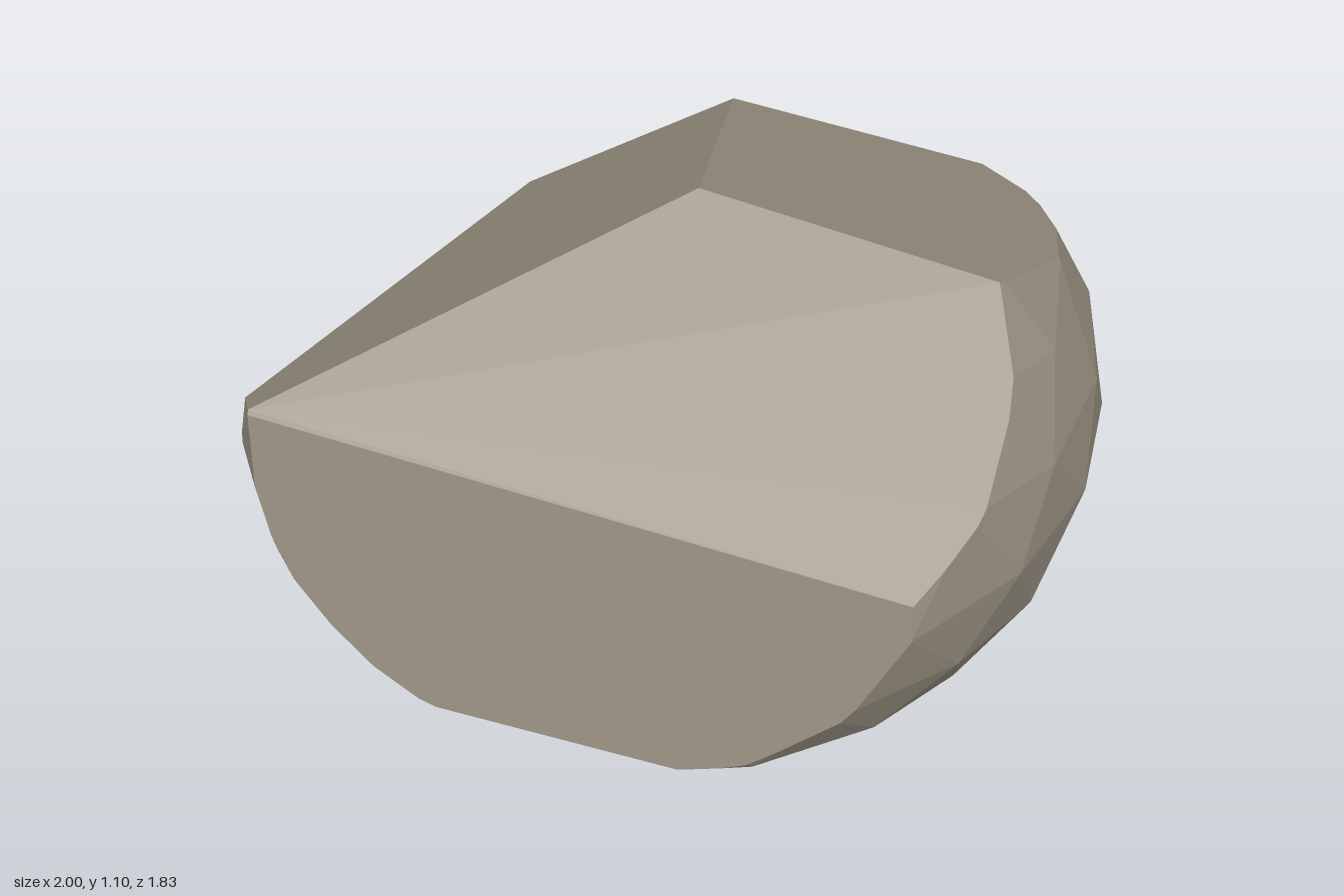
import * as THREE from 'three';

const V = (x, y, z) => new THREE.Vector3(x, y, z);

// Icosahedron with a corner pointing up, as a list of triangles
function icosahedron() {
  const at = (y, deg) => {
    const r = Math.sqrt(1 - y * y), a = THREE.MathUtils.degToRad(deg);
    return V(r * Math.cos(a), y, r * Math.sin(a));
  };
  const h = 1 / Math.sqrt(5), faces = [];
  for (let k = 0; k < 5; k++) {
    const u0 = at(h, 72 * k), u1 = at(h, 72 * k + 72);
    const l0 = at(-h, 72 * k + 36), l1 = at(-h, 72 * k + 108);
    faces.push([V(0, 1, 0), u1, u0], [u0, u1, l0], [l0, u1, l1], [V(0, -1, 0), l0, l1]);
  }
  return faces;
}

// Split each triangle into four and push the new corners onto the sphere
function subdivide(faces) {
  const mid = (a, b) => a.clone().add(b).normalize();
  return faces.flatMap(([a, b, c]) => {
    const ab = mid(a, b), bc = mid(b, c), ca = mid(c, a);
    return [[a, ab, ca], [ab, b, bc], [ca, bc, c], [ab, bc, ca]];
  });
}

// Cut a convex solid with a plane and close it with a flat cap
function slice(faces, normal, point) {
  const plane = new THREE.Plane().setFromNormalAndCoplanarPoint(normal.clone().normalize(), point);
  const cap = [], kept = [];
  const addCap = (p) => { if (!cap.some((q) => q.distanceTo(p) < 1e-5)) cap.push(p); };
  for (const face of faces) {
    const out = [];
    face.forEach((a, i) => {
      const b = face[(i + 1) % face.length];
      const da = plane.distanceToPoint(a), db = plane.distanceToPoint(b);
      if (da <= 0) out.push(a);
      if ((da <= 0) !== (db <= 0)) {
        const p = a.clone().lerp(b, da / (da - db));
        out.push(p);
        addCap(p);
      }
    });
    if (out.length > 2) kept.push(out);
  }
  if (cap.length > 2) {
    const n = plane.normal;
    const c = cap.reduce((s, p) => s.add(p), V(0, 0, 0)).divideScalar(cap.length);
    const t = cap[0].clone().sub(c).normalize(), b = n.clone().cross(t);
    const angle = (p) => Math.atan2(p.clone().sub(c).dot(b), p.clone().sub(c).dot(t));
    kept.push(cap.sort((p, q) => angle(p) - angle(q)));
  }
  return kept;
}

// Fan each polygon into flat triangles
function toGeometry(faces) {
  const points = [];
  for (const f of faces)
    for (let i = 1; i < f.length - 1; i++) points.push(f[0], f[i], f[i + 1]);
  const geometry = new THREE.BufferGeometry().setFromPoints(points);
  geometry.computeVertexNormals();
  return geometry;
}

export function createModel() {
  const stone = new THREE.MeshStandardMaterial({ color: 0x948c7d });
  stone.name = 'stone';

  // Rounded body
  let faces = subdivide(subdivide(icosahedron()));
  const scale = V(1.11, 0.865, 1.14), centre = V(-0.11, 0.475, 0.005);
  faces = faces.map((f) => f.map((p) => p.clone().multiply(scale).add(centre)));

  // Flat broken faces: outward normal and a point on each
  const peak = V(-0.02, 1.1, 0.04);
  const cuts = [
    [V(0.0647, 0.5449, 0.398), peak],                   // upper front slope
    [V(0.0649, 0.716, -0.235), peak],                   // upper back slope
    [V(-0.563, 0.957, -0.1), peak],                     // upper side slope
    [V(0.102, 0.2845, 1.067), V(-0.42, 0, 0.915)],      // front
    [V(-0.053, -0.066, -0.288), V(-0.3, 0.846, -0.81)], // back
    [V(-0.702, 0.054, -0.054), V(-0.93, 0, -0.5)],      // side
    [V(0, -1, 0), V(0, 0, 0)],                          // base
  ];
  for (const [normal, point] of cuts) faces = slice(faces, normal, point);

  const boulder = new THREE.Mesh(toGeometry(faces), stone);
  boulder.name = 'boulder';
  const group = new THREE.Group();
  group.name = 'rock';
  group.add(boulder);
  return group;
}
